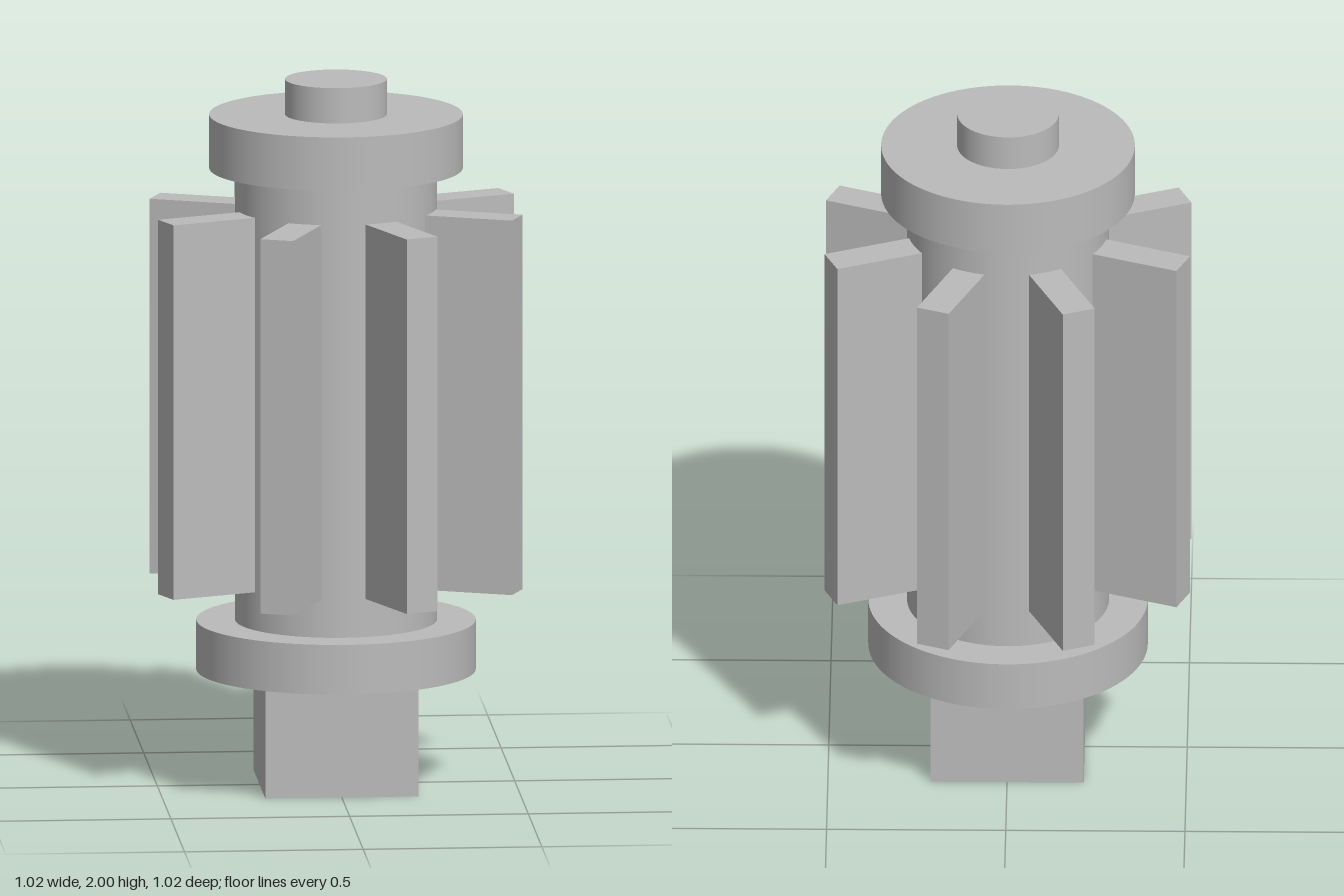
import * as THREE from 'three';

export function createModel() {
  const model = new THREE.Group();
  model.name = 'finnedShaft';

  const metal = new THREE.MeshStandardMaterial({ color: 0xbbbbbb });
  metal.name = 'grey metal';

  const add = (name, geometry, y) => {
    const mesh = new THREE.Mesh(geometry, metal);
    mesh.name = name;
    mesh.position.y = y;
    model.add(mesh);
    return mesh;
  };
  // Upright round part between two heights
  const disc = (name, radius, y0, y1) =>
    add(name, new THREE.CylinderGeometry(radius, radius, y1 - y0, 96), (y0 + y1) / 2);

  // Square drive at the foot
  add('squareDrive', new THREE.BoxGeometry(0.428, 0.325, 0.428), 0.1625);

  // Round shaft with its collars and end pin
  disc('lowerFlange', 0.39, 0.325, 0.466);
  disc('shaft', 0.282, 0.466, 1.748);
  disc('upperCollar', 0.354, 1.748, 1.9);
  disc('endPin', 0.142, 1.9, 2);

  // Eight radial fins, rooted inside the shaft
  const inner = 0.25, outer = 0.532, low = 0.574, high = 1.637;
  const finShape = new THREE.BoxGeometry(outer - inner, high - low, 0.096);
  finShape.translate((inner + outer) / 2, 0, 0);
  for (let i = 0; i < 8; i++) {
    const fin = add('fin' + (i + 1), finShape, (low + high) / 2);
    fin.rotation.y = (i + 0.5) * Math.PI / 4;
  }

  return model;
}
